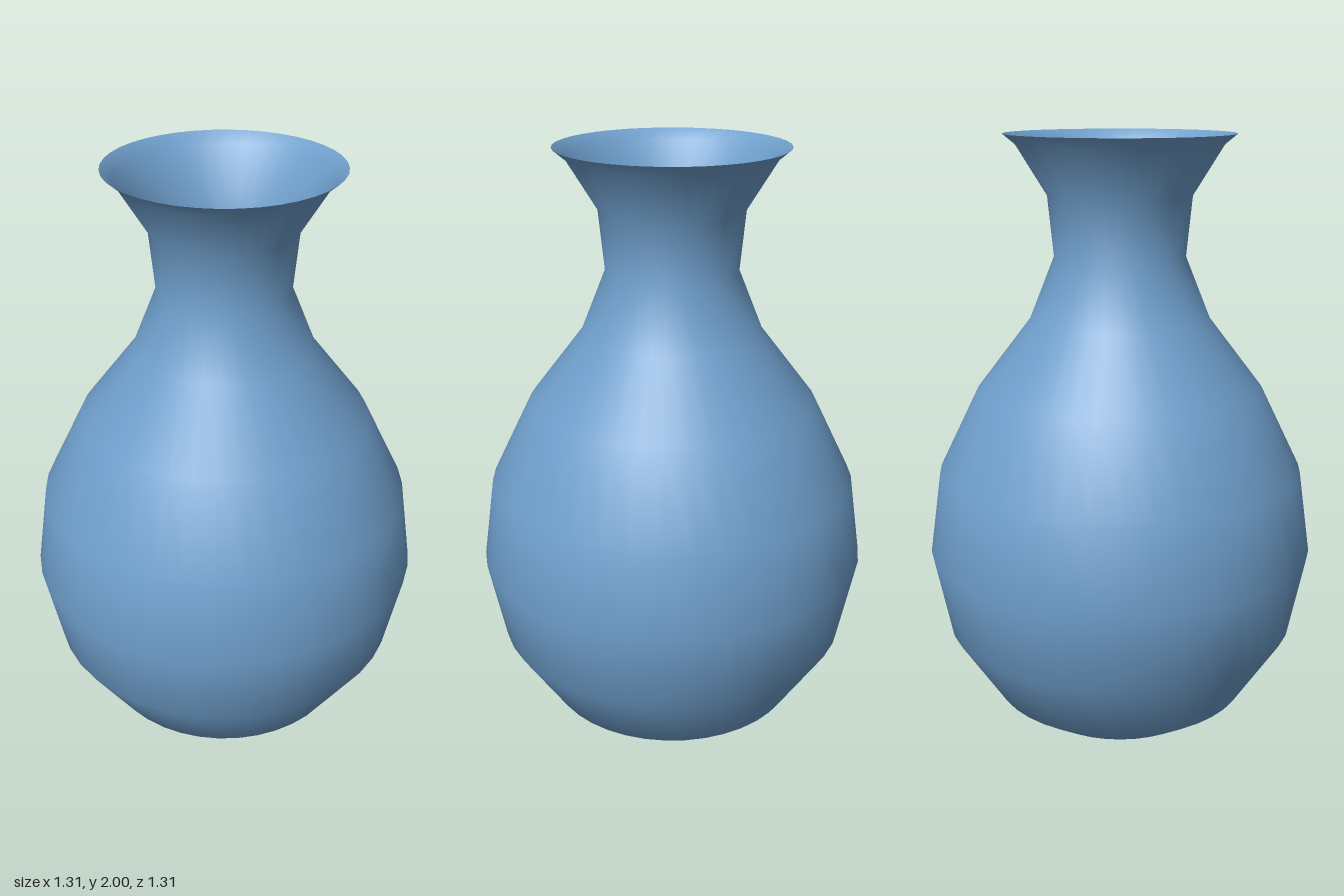
import * as THREE from 'three';

export function createModel() {
  const group = new THREE.Group();
  group.name = 'vase';

  // Outline as [radius, height], from the base centre up to the flared rim
  const profile = [
    [0, 0], [0.32, 0], [0.44, 0.08], [0.6, 0.325], [0.657, 0.605], [0.617, 0.885],
    [0.48, 1.165], [0.3, 1.4], [0.218, 1.605], [0.238, 1.805], [0.338, 1.967], [0.378, 2],
  ].map(([r, y]) => new THREE.Vector2(r, y));

  // Thin open shell: base, belly, neck and rim in one turned surface
  const material = new THREE.MeshStandardMaterial({ color: 0x6f9fcc, side: THREE.DoubleSide });
  const body = new THREE.Mesh(new THREE.LatheGeometry(profile, 40), material);
  body.name = 'vaseBody';
  group.add(body);

  return group;
}
